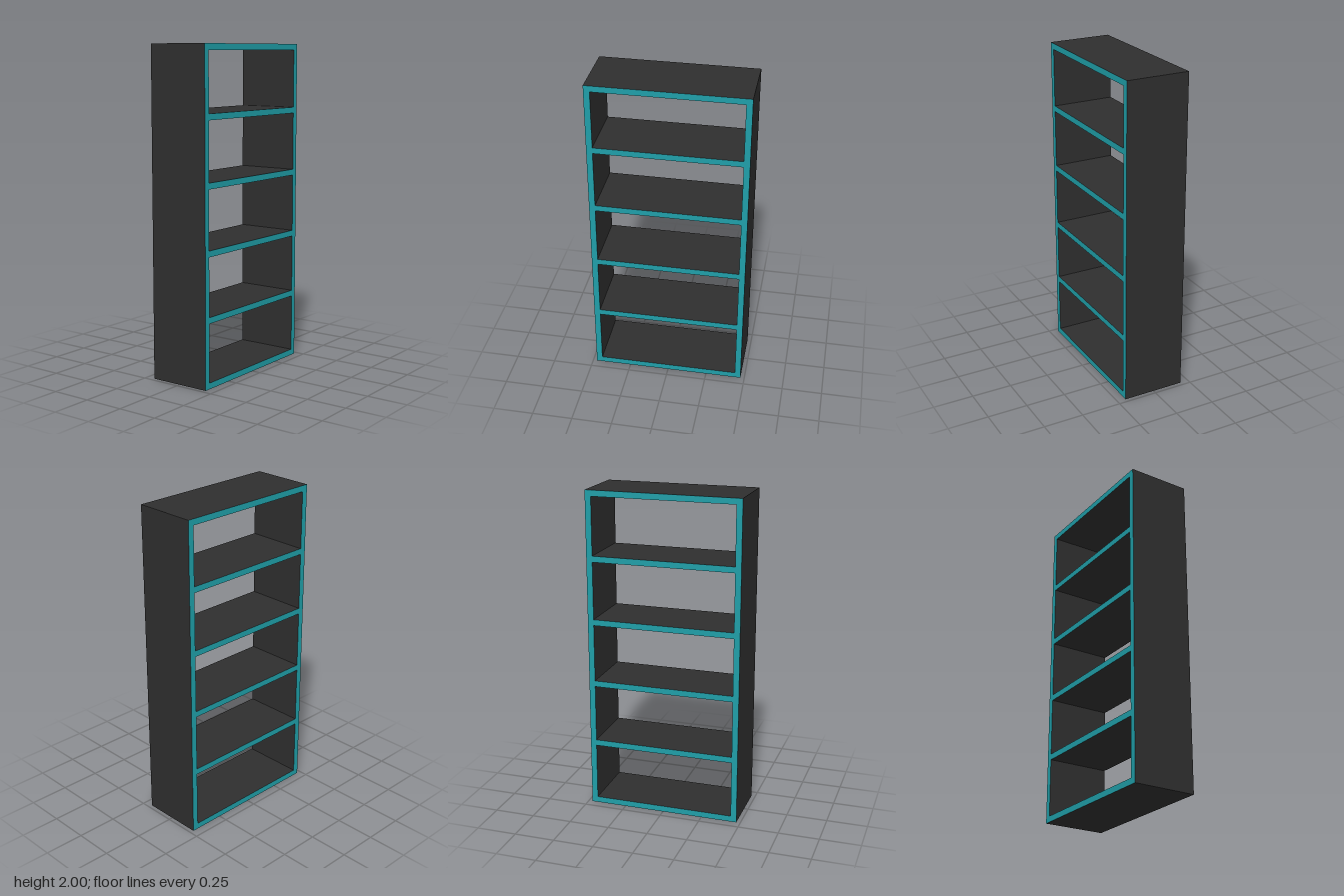
import * as THREE from 'three';

const WIDTH = 0.39;    // x, open on both sides
const HEIGHT = 2;
const DEPTH = 0.95;    // z
const BOARD = 0.037;   // board thickness
const BAYS = 5;

export function createModel() {
  const group = new THREE.Group();
  group.name = 'openShelfUnit';

  const dark = new THREE.MeshStandardMaterial({ color: 0x2e2e2e });
  const teal = new THREE.MeshStandardMaterial({ color: 0x1f9ea8 });
  // Boards are dark, with teal edge banding on the two open (x) sides
  const boardMaterials = [teal, teal, dark, dark, dark, dark];

  function addBoard(name, height, depth, y, z) {
    const board = new THREE.Mesh(new THREE.BoxGeometry(WIDTH, height, depth), boardMaterials);
    board.name = name;
    board.position.set(0, y, z);
    group.add(board);
  }

  // Upright end panels
  const panelZ = (DEPTH - BOARD) / 2;
  addBoard('frontPanel', HEIGHT, BOARD, HEIGHT / 2, panelZ);
  addBoard('backPanel', HEIGHT, BOARD, HEIGHT / 2, -panelZ);

  // Bottom, evenly spaced shelves and top, fitted between the panels
  const pitch = (HEIGHT - BOARD) / BAYS;
  for (let i = 0; i <= BAYS; i++) {
    const name = i === 0 ? 'bottomBoard' : i === BAYS ? 'topBoard' : `shelf${i}`;
    addBoard(name, BOARD, DEPTH - 2 * BOARD, BOARD / 2 + i * pitch, 0);
  }

  return group;
}
